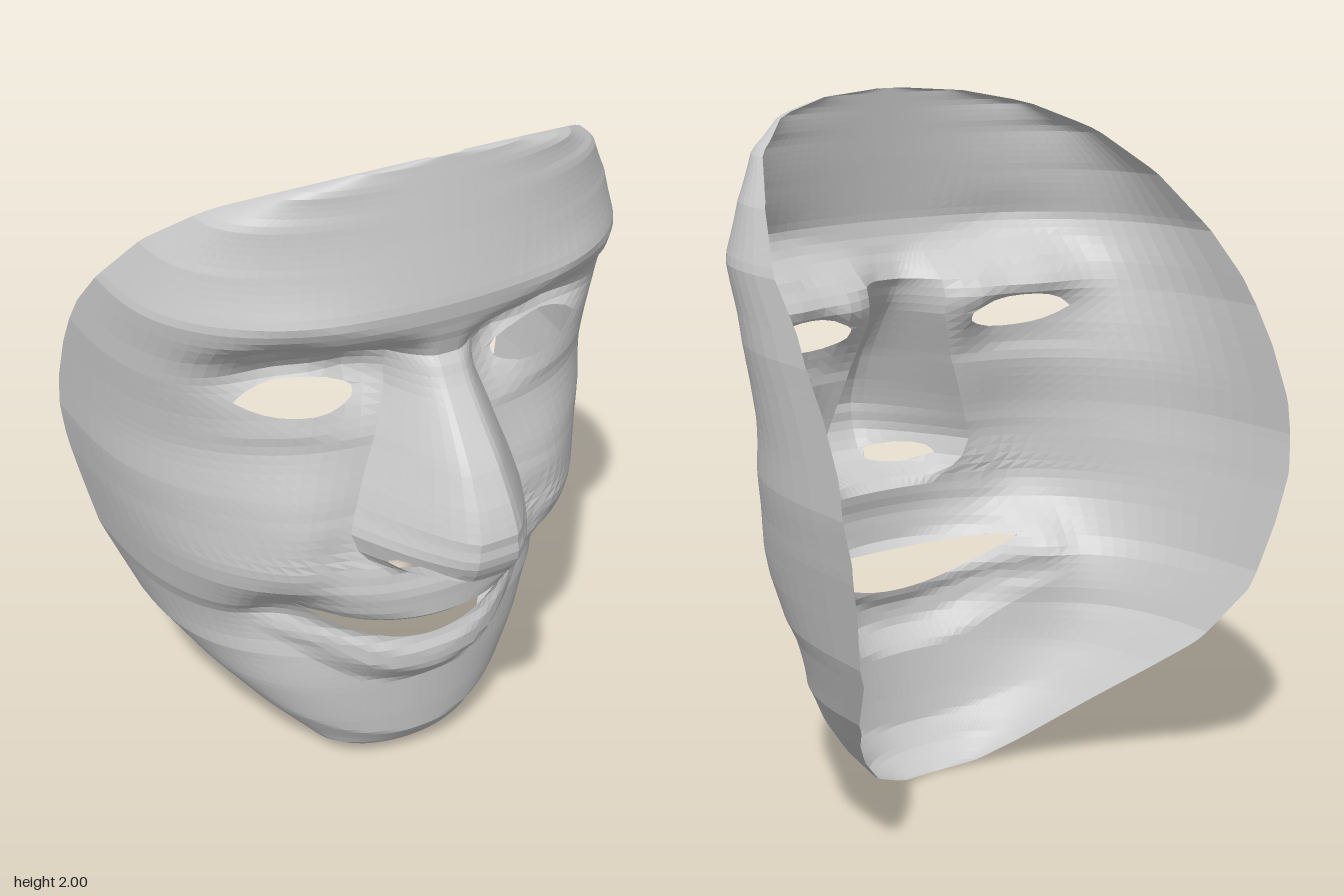
import * as THREE from 'three';

// Piecewise-linear lookup in a short list of [y, value] pairs
function lookup(points, y) {
  for (let i = 1; i < points.length; i++) {
    const [y0, a] = points[i - 1], [y1, b] = points[i];
    if (y <= y1) return a + (b - a) * Math.max(0, (y - y0) / (y1 - y0));
  }
  return points[points.length - 1][1];
}

// Rim: half width and depth by height
const rimX = [[0, 0], [0.015, 0.14], [0.07, 0.26], [0.2, 0.4], [0.33, 0.52], [0.45, 0.61], [0.65, 0.685],
  [0.9, 0.735], [1.05, 0.757], [1.4, 0.757], [1.6, 0.735], [1.75, 0.665], [1.87, 0.57], [1.95, 0.42], [1.99, 0.22], [2, 0.05]];
const rimZ = [[0, 0.08], [0.015, 0.05], [0.07, 0], [0.2, -0.14], [0.42, -0.4], [0.6, -0.53], [0.8, -0.58],
  [0.95, -0.6], [1.15, -0.57], [1.3, -0.5], [1.48, -0.38], [1.76, -0.1], [1.89, 0.08], [2, 0.29]];

// Roundness of the horizontal sections: smaller is fuller
const roundness = [[0, 0.75], [0.5, 0.75], [0.75, 0.7], [1, 0.63], [1.6, 0.66], [2, 0.9]];

// Centre line of the face without its features
const centreZ = [[0, 0.08], [0.05, 0.15], [0.12, 0.2], [0.2, 0.21], [0.35, 0.225], [0.5, 0.25], [0.65, 0.31],
  [0.74, 0.345], [0.82, 0.345], [0.9, 0.31], [1, 0.28], [1.2, 0.26], [1.4, 0.305], [1.55, 0.35], [1.62, 0.36],
  [1.8, 0.33], [2, 0.3]];
const lips = [[0.34, 0], [0.41, 0.05], [0.47, 0.045], [0.52, 0.012], [0.62, 0.02], [0.65, 0.042], [0.72, 0.02], [0.8, 0]];
const socket = [[1.2, 0], [1.38, 0.065], [1.45, 0.075], [1.51, 0.015], [1.56, 0]];

// How strongly the mouth and chin curve upwards away from the centre
const smile = [[0, 0], [0.1, 0.6], [0.5, 1.1], [0.65, 0.3], [0.8, 0]];

// Nose: height above the face, half width at the ridge and at the foot
const noseHeight = [[0.822, 0], [0.835, 0.03], [0.855, 0.17], [0.875, 0.225], [0.9, 0.26], [0.96, 0.305],
  [1.03, 0.32], [1.1, 0.3], [1.2, 0.25], [1.3, 0.18], [1.43, 0.09], [1.5, 0.02], [1.54, 0]];
const noseRidge = [[0.83, 0.04], [0.95, 0.06], [1.1, 0.045], [1.5, 0.03]];
const noseFoot = [[0, 0.2], [0.7, 0.2], [0.83, 0.19], [0.88, 0.25], [0.95, 0.272], [1.08, 0.23], [1.2, 0.185],
  [1.35, 0.135], [1.52, 0.13], [1.8, 0.2]];

// Soft bumps and hollows: x, y, radius x, radius y, height
const bumps = [
  [0.4, 0.98, 0.18, 0.18, 0.045],    // cheek
  [0.21, 1.38, 0.08, 0.1, -0.045],   // inner eye corner
  [0.38, 1.42, 0.17, 0.055, -0.055], // upper eyelid
  [0.4, 0.65, 0.09, 0.08, -0.05],    // mouth corner
  [0.38, 0.58, 0.16, 0.15, -0.035],  // hollow beside the chin
  [0.31, 0.84, 0.07, 0.1, -0.02],    // smile crease
  [0.42, 1.59, 0.18, 0.08, 0.015],   // brow
];

// Openings on one half: each function is negative inside the hole
const openings = [
  (x, y) => Math.abs(y - 1.345 - 0.05 * (x - 0.37)) / 0.049 + Math.abs((x - 0.365) / 0.17) ** 2.5 - 1,  // eye
  (x, y) => Math.max(0.52 + 1.05 * x * x - y, y - 0.628 - 0.28 * x * x),                                // mouth
  (x, y) => ((x - 0.135) / 0.082) ** 2 + ((y - 0.888 - 0.18 * (x - 0.135)) / 0.026) ** 2 - 1,           // nostril
];

const across = (s, y) => lookup(rimX, y) * Math.sin(s * Math.PI / 2);

// Surface point: s runs from the centre line (0) to the rim (1)
function facePoint({ s, y }) {
  const x = across(s, y), back = lookup(rimZ, y);
  const bent = y - lookup(smile, y) * Math.min(x, 0.45) ** 2;
  const arched = y - 0.05 * Math.exp(-(((x - 0.45) / 0.2) ** 2));
  const section = Math.max(0, Math.cos(s * Math.PI / 2)) ** lookup(roundness, y);
  let z = back + (lookup(centreZ, bent) - back) * section;
  z += lookup(lips, bent) * Math.max(0, 1 - (x / 0.46) ** 2);
  z -= lookup(socket, arched) * (1 - THREE.MathUtils.smoothstep(x, 0.4, 0.7));
  const ridge = lookup(noseRidge, y);
  const t = THREE.MathUtils.clamp((x - ridge) / (lookup(noseFoot, y) - ridge), 0, 1);
  z += lookup(noseHeight, y) * (1 - t ** 1.4);
  for (const [bx, by, rx, ry, h] of bumps) z += h * Math.exp(-(((x - bx) / rx) ** 2) - ((y - by) / ry) ** 2);
  return [x, y, z];
}

// Cut a polygon along the edge of an opening, keeping the outside
function clip(polygon, opening) {
  const kept = [];
  polygon.forEach((a, i) => {
    const b = polygon[(i + 1) % polygon.length];
    const fa = opening(across(a.s, a.y), a.y), fb = opening(across(b.s, b.y), b.y);
    if (fa >= 0) kept.push(a);
    if (fa >= 0 !== fb >= 0) {
      const k = fa / (fa - fb);
      kept.push({ s: a.s + (b.s - a.s) * k, y: a.y + (b.y - a.y) * k });
    }
  });
  return kept;
}

// One half of the mask; side is +1 for the left, -1 for the right
function halfFace(side) {
  const rows = 90, noseColumns = 9, columns = 30, positions = [];
  // Grid corner: the first columns end exactly at the foot of the nose
  const at = (i, j) => {
    const v = j / rows, y = 2 * (0.6 * v + 0.2 * (1 - Math.cos(Math.PI * v)));
    const foot = Math.asin(Math.min(0.5, lookup(noseFoot, y) / Math.max(lookup(rimX, y), 0.01))) * 2 / Math.PI;
    const s = i < noseColumns ? foot * i / noseColumns
      : foot + (1 - foot) * (i - noseColumns) / (columns - noseColumns);
    return { s, y };
  };
  for (let j = 0; j < rows; j++) {
    for (let i = 0; i < columns; i++) {
      const [a, b, c, d] = [at(i, j), at(i + 1, j), at(i + 1, j + 1), at(i, j + 1)];
      for (const triangle of [[a, b, c], [a, c, d]]) {
        const points = openings.reduce(clip, triangle).map(facePoint);
        for (let k = 2; k < points.length; k++) {
          const corners = side > 0 ? [0, k - 1, k] : [0, k, k - 1];
          for (const n of corners) positions.push(points[n][0] * side, points[n][1], points[n][2]);
        }
      }
    }
  }
  const geometry = new THREE.BufferGeometry();
  geometry.setAttribute('position', new THREE.Float32BufferAttribute(positions, 3));
  geometry.computeVertexNormals();
  return geometry;
}

export function createModel() {
  const mask = new THREE.Group();
  mask.name = 'mask';
  const material = new THREE.MeshStandardMaterial({ color: 0xcccccc, flatShading: true, side: THREE.DoubleSide });
  for (const [name, side] of [['leftFace', 1], ['rightFace', -1]]) {
    const half = new THREE.Mesh(halfFace(side), material);
    half.name = name;
    mask.add(half);
  }
  return mask;
}
